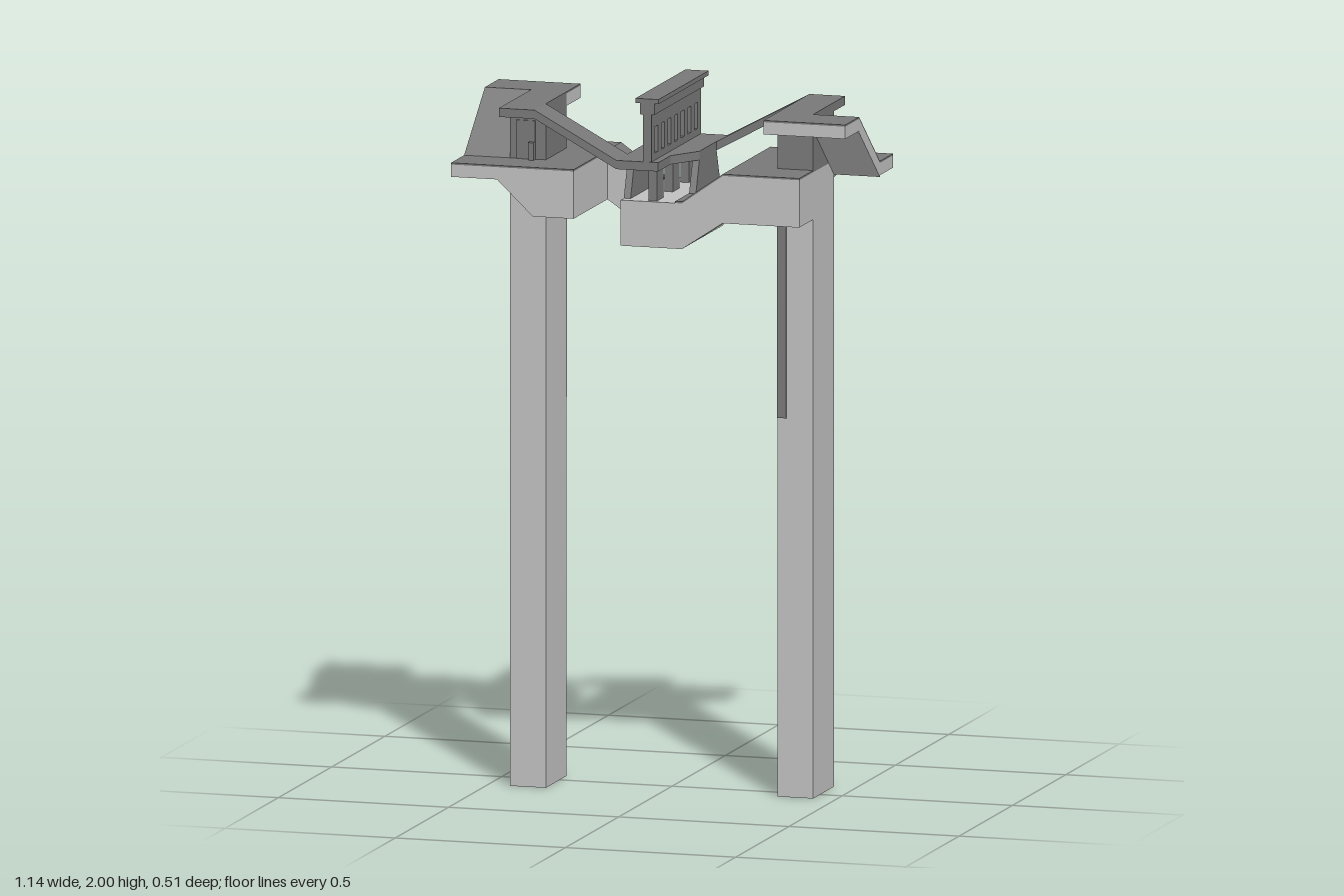
import * as THREE from 'three';

const concrete = new THREE.MeshStandardMaterial({ color: 0xc0c0c0 });
concrete.name = 'pale concrete';
const asphalt = new THREE.MeshStandardMaterial({ color: 0x787878 });
asphalt.name = 'dark asphalt';

function add(group, name, geometry, material) {
  const mesh = new THREE.Mesh(geometry, material);
  mesh.name = name;
  group.add(mesh);
}

// Box given by its limits on each axis
function box(x0, x1, y0, y1, z0, z1) {
  return new THREE.BoxGeometry(x1 - x0, y1 - y0, z1 - z0)
    .translate((x0 + x1) / 2, (y0 + y1) / 2, (z0 + z1) / 2);
}

const extrude = (pts, depth) => new THREE.ExtrudeGeometry(
  new THREE.Shape(pts.map(([a, b]) => new THREE.Vector2(a, b))), { depth, bevelEnabled: false });

// Outline in (x, y), pulled along z
const alongZ = (pts, z0, z1) => extrude(pts, z1 - z0).translate(0, 0, z0);
// Outline in (z, y), pulled along x
const alongX = (pts, x0, x1) =>
  extrude(pts.map(([z, y]) => [-z, y]), x1 - x0).rotateY(Math.PI / 2).translate(x0, 0, 0);
// Outline in (x, z), pulled upward
const upward = (pts, y0, y1) =>
  extrude(pts.map(([x, z]) => [x, -z]), y1 - y0).rotateX(-Math.PI / 2).translate(0, y0, 0);

// Closed band lying between a line and the same line shifted in height
const band = (line, shift) => [...line, ...line.map(([a, b]) => [a, b + shift]).reverse()];

function buildHalf() {
  const half = new THREE.Group();

  // Tall pier with a dark strip on its inner face
  add(half, 'pier', box(0.33, 0.435, 0, 1.66, -0.13, 0.065), concrete);
  add(half, 'pierStrip', box(0.33, 0.357, 1.08, 1.65, 0.065, 0.069), asphalt);

  // Lower road: bracket, middle deck and the girder dipping to the centre
  add(half, 'bracket', alongZ([[0.21, 1.65], [0.33, 1.65], [0.435, 1.75], [0.57, 1.75],
    [0.57, 1.785], [0.21, 1.785]], -0.253, -0.13), concrete);
  add(half, 'middleDeck', box(0.21, 0.435, 1.65, 1.785, -0.13, 0.065), concrete);
  add(half, 'girder', alongZ([[0.09, 1.57], [0.21, 1.65], [0.435, 1.65], [0.435, 1.785],
    [0.21, 1.785], [0.09, 1.7]], 0.065, 0.195), concrete);

  add(half, 'bracketRoad', box(0.21, 0.57, 1.785, 1.79, -0.253, -0.13), asphalt);
  add(half, 'deckRoad', box(0.21, 0.435, 1.785, 1.79, -0.13, 0.065), asphalt);
  add(half, 'girderRoad', alongZ(band([[0.07, 1.7], [0.09, 1.7], [0.21, 1.785], [0.435, 1.785]], 0.005),
    0.065, 0.195), asphalt);

  // Outer ramp rising from the bracket to the landing
  const ramp = [[-0.13, 1.785], [0.065, 1.945]];
  add(half, 'ramp', alongX(band(ramp, -0.04), 0.435, 0.57), concrete);
  add(half, 'rampRoad', alongX(band(ramp, 0.005), 0.435, 0.57), asphalt);
  add(half, 'landing', box(0.33, 0.57, 1.91, 1.945, 0.065, 0.195), concrete);
  add(half, 'landingRoad', box(0.33, 0.57, 1.945, 1.95, 0.065, 0.195), asphalt);

  // Core above the pier, with a door plate and a short post
  add(half, 'core', box(0.33, 0.435, 1.79, 1.93, -0.13, 0.065), asphalt);
  add(half, 'door', box(0.36, 0.415, 1.79, 1.9, -0.134, -0.13), asphalt);
  add(half, 'shortPost', box(0.36, 0.376, 1.79, 1.84, -0.15, -0.134), asphalt);

  // Upper footway: sloped run, then a turn toward the landing
  add(half, 'footwaySlope', alongZ(band([[0.09, 1.82], [0.33, 1.95], [0.435, 1.95]], -0.025),
    -0.235, -0.13), asphalt);
  add(half, 'footwayTurn', box(0.33, 0.435, 1.925, 1.95, -0.13, 0.065), asphalt);

  // Tapered wall holding up the middle platform
  add(half, 'platformWall', alongX([[-0.165, 1.7], [0.065, 1.7], [0.03, 1.797], [-0.13, 1.797]],
    0.07, 0.09), asphalt);
  return half;
}

export function createModel() {
  const model = new THREE.Group();
  model.name = 'elevatedCrossing';

  // Two matching halves, turned half a circle from each other
  for (let i = 0; i < 2; i++) {
    const half = buildHalf();
    half.name = i ? 'rightHalf' : 'leftHalf';
    half.rotation.y = i * Math.PI;
    model.add(half);
  }

  // Middle block and the platform above it
  add(model, 'centreBlock', box(-0.09, 0.09, 1.57, 1.7, -0.195, 0.195), concrete);
  const corner = [[0.033, 0.235], [0.033, 0.12], [0.09, 0.03], [0.09, -0.235]];
  add(model, 'platform', upward([...corner, ...corner.map(([x, z]) => [-x, -z])], 1.795, 1.82), asphalt);

  // Central railing with its supports
  const railing = new THREE.Group();
  railing.name = 'railing';
  for (const z of [-0.15, 0, 0.15]) {
    add(railing, 'support', box(-0.012, 0.012, 1.7, 1.8, z - 0.03, z + 0.03), asphalt);
  }
  add(railing, 'bottomRail', box(-0.012, 0.012, 1.82, 1.84, -0.233, 0.233), asphalt);
  for (let i = 0; i < 8; i++) {
    const z = -0.217 + i * 0.062;
    add(railing, 'baluster', box(-0.012, 0.012, 1.84, 1.92, z - 0.016, z + 0.016), asphalt);
  }
  add(railing, 'topRail', box(-0.012, 0.012, 1.915, 1.955, -0.233, 0.233), asphalt);
  add(railing, 'capBase', box(-0.021, 0.021, 1.955, 1.987, -0.233, 0.233), asphalt);
  add(railing, 'cap', box(-0.034, 0.034, 1.987, 2, -0.235, 0.235), asphalt);
  model.add(railing);
  return model;
}
